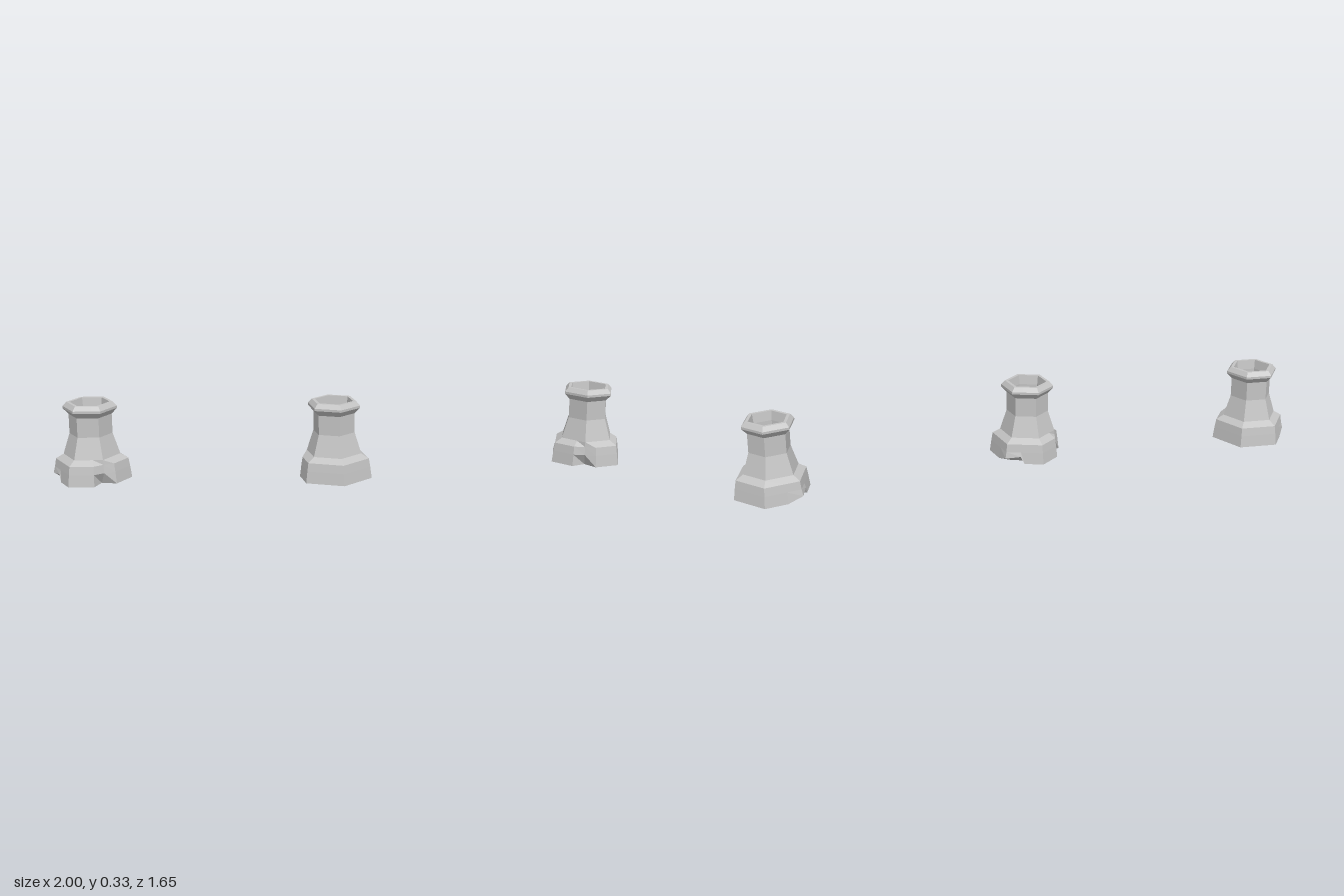
import * as THREE from 'three';

// Columns round the hexagon: position measured in corners (0.35 = 35% along the edge).
// Corner 0 carries a deep broken notch, corner 2 a small chip on its lower edge.
const COLUMNS = [0, 0.35, 1, 1.5, 1.6, 2, 2.4, 3, 4, 5, 5.65];

// Rings from the middle of the underside, out, up the outside and down the bore: [radius, y]
const RINGS = [
  [0.0, 0.0],
  [0.12, 0.0],
  [0.165, 0.0],    // foot
  [0.158, 0.05],
  [0.152, 0.085],  // foot shoulder
  [0.119, 0.105],
  [0.09, 0.195],   // neck
  [0.09, 0.278],
  [0.113, 0.302],  // rim
  [0.113, 0.312],
  [0.097, 0.33],
  [0.083, 0.33],   // bore
  [0.077, 0.29],
  [0.077, 0.03],
];

// Radius of the notched corner on the foot rings, and lift of the chipped edge
const NOTCH = { 1: 0.08, 2: 0.095, 3: 0.125, 4: 0.121 };
const CHIP = { 1.6: 0.032, 2: 0.022 };

function ringPoint(ring, column) {
  let [radius, y] = RINGS[ring];
  if (column === 0 && ring in NOTCH) radius = NOTCH[ring];
  if (ring === 2 && column in CHIP) y = CHIP[column];
  const corner = Math.floor(column);
  const f = column - corner;
  const a = corner * Math.PI / 3;
  const b = a + Math.PI / 3;
  return [
    radius * (Math.cos(a) * (1 - f) + Math.cos(b) * f),
    y,
    radius * (Math.sin(a) * (1 - f) + Math.sin(b) * f),
  ];
}

function potGeometry() {
  const n = COLUMNS.length;
  const positions = [];
  const index = [];
  RINGS.forEach((_, r) => COLUMNS.forEach((c) => positions.push(...ringPoint(r, c))));
  for (let r = 0; r < RINGS.length - 1; r++) {
    for (let c = 0; c < n; c++) {
      const d = (c + 1) % n;
      const p = r * n + c, q = r * n + d;
      if (r > 0) index.push(p, q + n, q);
      index.push(p, p + n, q + n);
    }
  }
  const geometry = new THREE.BufferGeometry();
  geometry.setAttribute('position', new THREE.Float32BufferAttribute(positions, 3));
  geometry.setIndex(index);
  const faceted = geometry.toNonIndexed();
  faceted.computeVertexNormals();
  return faceted;
}

export function createModel() {
  const group = new THREE.Group();
  group.name = 'chimneyPots';
  const stone = new THREE.MeshStandardMaterial({ color: 0xc4c4c4, flatShading: true });
  stone.name = 'stone';
  const geometry = potGeometry();

  // Three copies: name, x, z, direction of the notch in degrees
  const pots = [
    ['backPot', -0.84, -0.668, 104],
    ['middlePot', -0.107, 0.042, 240],
    ['frontPot', 0.85, 0.66, 147],
  ];
  for (const [name, x, z, angle] of pots) {
    const pot = new THREE.Mesh(geometry, stone);
    pot.name = name;
    pot.position.set(x, 0, z);
    pot.rotation.y = -THREE.MathUtils.degToRad(angle);
    group.add(pot);
  }
  return group;
}
